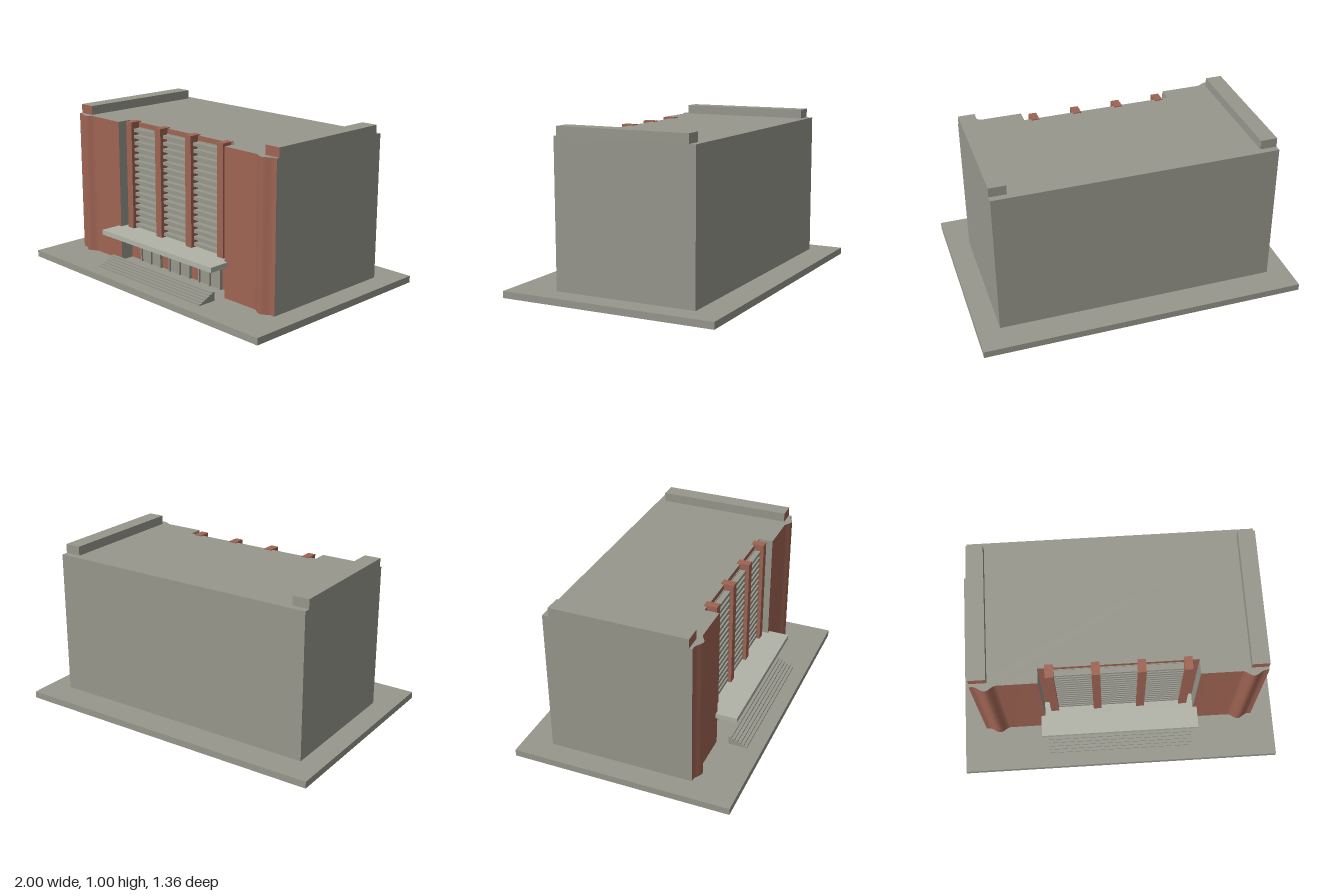
import * as THREE from 'three';
import { toCreasedNormals } from 'three/addons/utils/BufferGeometryUtils.js';

export function createModel() {
  const model = new THREE.Group();
  const mat = (name, color) => {
    const m = new THREE.MeshStandardMaterial({ color });
    m.name = name;
    return m;
  };
  const concrete = mat('concrete', 0x97978d);
  const brick = mat('brick', 0x9f6453);
  const paleStone = mat('paleStone', 0xb1b3a7);

  const add = (name, geometry, material, parent = model) => {
    const mesh = new THREE.Mesh(geometry, material);
    mesh.name = name;
    parent.add(mesh);
    return mesh;
  };
  // Box given by its limits on each axis
  const box = (name, material, [x0, x1], [y0, y1], [z0, z1], parent) => {
    const g = new THREE.BoxGeometry(x1 - x0, y1 - y0, z1 - z0);
    g.translate((x0 + x1) / 2, (y0 + y1) / 2, (z0 + z1) / 2);
    return add(name, g, material, parent);
  };
  // Upright wall along a plan line of [x, z] points; its front is on the +z side when x rises
  const wall = (name, material, points, y0, y1) => {
    const pos = [], index = [];
    points.forEach(([x, z], i) => {
      pos.push(x, y0, z, x, y1, z);
      const a = i * 2;
      if (i) index.push(a - 2, a, a + 1, a - 2, a + 1, a - 1);
    });
    const g = new THREE.BufferGeometry();
    g.setAttribute('position', new THREE.Float32BufferAttribute(pos, 3));
    g.setIndex(index);
    add(name, toCreasedNormals(g, 0.5), material);
  };

  const GROUND = 0.042, ROOF = 0.943;
  const SIDE = 0.863, FRONT = 0.398, BACK = -0.5, RECESS = 0.31, BAY = 0.468;

  box('basePlinth', concrete, [-1, 1], [0, GROUND], [-0.678, 0.678]);

  // Plan of the right-hand facade wing, with a softly swelling bay near the corner
  const wing = [[-SIDE, FRONT]];
  for (let i = 0; i <= 24; i++) {
    const t = i / 24;
    wing.push([-0.843 + 0.136 * t, FRONT + 0.015 * (1 - Math.cos(t * Math.PI * 2))]);
  }
  wing.push([-BAY, FRONT]);
  const mirrored = wing.map(([x, z]) => [-x, z]).reverse();
  wall('rightFacadeWing', brick, wing, GROUND, ROOF);
  wall('leftFacadeWing', brick, mirrored, GROUND, ROOF);

  // Recessed centre and the plain outer walls
  wall('recessRightReturn', concrete, [[-BAY, FRONT], [-BAY, RECESS]], GROUND, ROOF);
  wall('recessBackWall', brick, [[-BAY, RECESS], [BAY, RECESS]], GROUND, ROOF);
  wall('recessLeftReturn', concrete, [[BAY, RECESS], [BAY, FRONT]], GROUND, ROOF);
  wall('outerWalls', concrete,
    [[SIDE, FRONT], [SIDE, BACK], [-SIDE, BACK], [-SIDE, FRONT]], GROUND, ROOF);

  // Flat roof following the plan
  const plan = [...wing, [-BAY, RECESS], [BAY, RECESS], ...mirrored, [SIDE, BACK], [-SIDE, BACK]];
  const roof = new THREE.ShapeGeometry(new THREE.Shape(plan.map(([x, z]) => new THREE.Vector2(x, -z))));
  roof.rotateX(-Math.PI / 2).translate(0, ROOF, 0);
  add('roof', roof, concrete);

  // Raised roof edges along both sides, brick on their front ends
  for (const s of [-1, 1]) {
    const xs = s < 0 ? [-SIDE, -0.76] : [0.76, SIDE];
    const parapet = box('sideParapet', concrete, xs, [ROOF, 1], [-0.46, 0.379]);
    parapet.material = [concrete, concrete, concrete, concrete, brick, concrete];
  }

  // Pillars dividing the recess
  for (const x of [-0.403, -0.134, 0.134, 0.403])
    box('pillar', brick, [x - 0.025, x + 0.025], [0.25, 0.948], [0.29, 0.37]);

  // Louvred windows between the pillars
  const louvres = new THREE.Group();
  louvres.name = 'louvres';
  model.add(louvres);
  for (const x of [-0.268, 0, 0.268]) {
    box('louvrePanel', concrete, [x - 0.11, x + 0.11], [0.25, 0.912], [0.309, 0.315], louvres);
    for (let i = 0; i < 16; i++) {
      const y = 0.275 + i * 0.0408;
      box('louvreSlat', concrete, [x - 0.11, x + 0.11], [y, y + 0.02], [0.31, 0.35], louvres);
    }
  }

  // Entrance canopy, its back part fitting inside the recess
  box('canopy', paleStone, [-0.493, 0.493], [0.235, 0.266], [FRONT, 0.53]);
  box('canopyBack', paleStone, [-0.466, 0.466], [0.235, 0.266], [RECESS, FRONT]);

  // Three double doors with raised frames
  for (const x of [-0.268, 0, 0.268]) {
    const door = new THREE.Group();
    door.name = 'door';
    model.add(door);
    box('doorLeaves', concrete, [x - 0.095, x + 0.095], [GROUND, 0.218], [0.309, 0.318], door);
    for (const dx of [-0.09, 0, 0.09])
      box('doorPost', concrete, [x + dx - 0.005, x + dx + 0.005], [GROUND, 0.218], [0.31, 0.33], door);
    box('doorHead', concrete, [x - 0.095, x + 0.095], [0.208, 0.218], [0.31, 0.33], door);
  }

  // Entrance steps, one extruded stair profile
  const stair = new THREE.Shape();
  stair.moveTo(0.47, GROUND);
  stair.lineTo(0.587, GROUND);
  for (let i = 0; i < 6; i++) {
    const y = GROUND + 0.009 * (i + 1);
    stair.lineTo(0.587 - i * 0.0195, y);
    stair.lineTo(0.587 - (i + 1) * 0.0195, y);
  }
  const steps = new THREE.ExtrudeGeometry(stair, { depth: 0.92, bevelEnabled: false });
  steps.rotateY(-Math.PI / 2).translate(0.46, 0, 0);
  add('entranceSteps', steps, concrete);

  return model;
}
